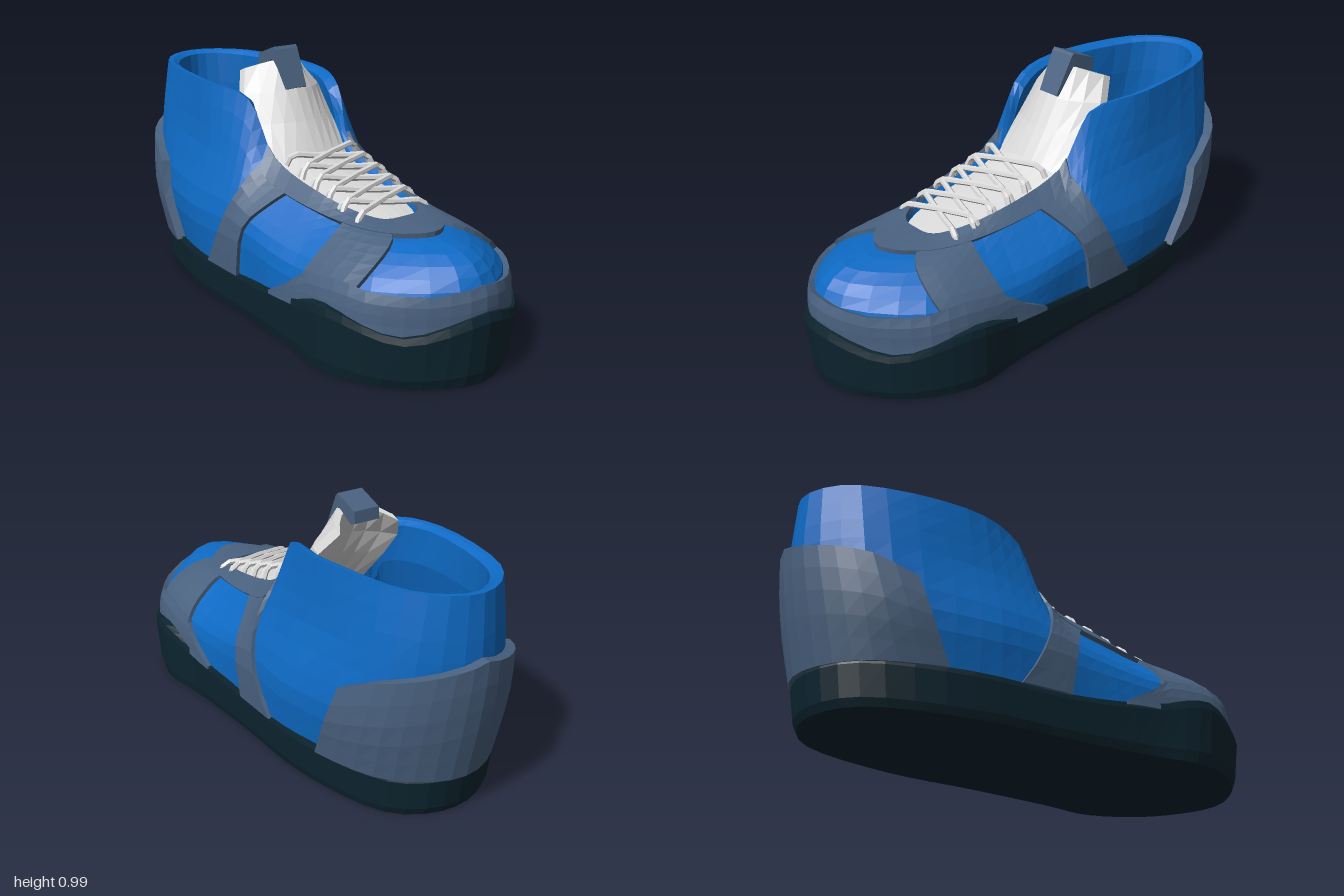
import * as THREE from 'three';

const V = (x, y, z) => new THREE.Vector3(x, y, z);
const { lerp, clamp } = THREE.MathUtils;

function paint(name, color) {
  const m = new THREE.MeshStandardMaterial({ color, flatShading: true });
  m.name = name;
  return m;
}

// Piecewise-linear lookup through [x, y] points
function ramp(pts, x) {
  for (let i = 1; i < pts.length; i++) {
    const [x0, y0] = pts[i - 1], [x1, y1] = pts[i];
    if (x <= x1) return lerp(y0, y1, Math.max(0, (x - x0) / (x1 - x0)));
  }
  return pts[pts.length - 1][1];
}

// Mesh from a grid of points, fn(i, j); outside is (i direction) x (j direction)
function grid(name, mat, nu, nv, fn) {
  const pos = [], idx = [];
  for (let j = 0; j <= nv; j++)
    for (let i = 0; i <= nu; i++) pos.push(...fn(i, j).toArray());
  for (let j = 0; j < nv; j++)
    for (let i = 0; i < nu; i++) {
      const a = j * (nu + 1) + i, d = a + nu + 1;
      idx.push(a, a + 1, d + 1, a, d + 1, d);
    }
  const g = new THREE.BufferGeometry();
  g.setAttribute('position', new THREE.Float32BufferAttribute(pos, 3));
  g.setIndex(idx);
  g.computeVertexNormals();
  const mesh = new THREE.Mesh(g, mat);
  mesh.name = name;
  return mesh;
}

// Closed smooth loop from a half outline, heel to toe along +z, mirrored back
function closedLoop(half) {
  const left = half.map(p => V(...p));
  const right = left.slice(1, -1).reverse().map(p => V(p.x, p.y, -p.z));
  return new THREE.CatmullRomCurve3([...left, ...right], true, 'catmullrom', 0.5);
}
// u runs 0 (heel) to 14 (toe) on the left, and on to 28 along the right
const onLoop = (c, u) => c.getPoint((((u / 28) % 1) + 1) % 1);

// Upper: loops from the sole line up to the collar and throat edge
const soleLine = closedLoop([[-.88, .16, 0], [-.74, .16, .23], [-.38, .16, .34], [-.08, .16, .355],
  [.08, .16, .35], [.36, .18, .365], [.74, .19, .32], [.96, .2, 0]]);
const lowLine = closedLoop([[-.93, .4, 0], [-.77, .38, .26], [-.38, .36, .36], [-.1, .36, .355],
  [.06, .34, .35], [.35, .31, .345], [.73, .33, .295], [.955, .345, 0]]);
const midLine = closedLoop([[-.955, .62, 0], [-.79, .62, .24], [-.38, .6, .3], [-.12, .56, .29],
  [.03, .46, .28], [.33, .42, .25], [.64, .425, .2], [.85, .44, 0]]);
const topLine = closedLoop([[-.945, .855, 0], [-.8, .855, .2], [-.4, .85, .275], [-.14, .81, .215],
  [-.01, .6, .18], [.3, .515, .16], [.5, .47, .1], [.54, .465, 0]]);

function skin(u, v) {
  const rib = [soleLine, lowLine, midLine, topLine].map(c => onLoop(c, u));
  return new THREE.CatmullRomCurve3(rib, false, 'catmullrom', 0.5).getPoint(clamp(v, 0, 1));
}

// Point on the upper, moved out along its normal by h
function offsetSkin(u, v, h) {
  const du = skin(u + .2, v).sub(skin(u - .2, v));
  const dv = skin(u, v + .03).sub(skin(u, v - .03));
  return skin(u, v).addScaledVector(du.cross(dv).normalize(), h);
}

// Raised overlay following the upper; the outer ring of the grid sinks to form its edge
function overlay(name, mat, ns, nt, thick, f) {
  return grid(name, mat, ns + 2, nt + 2, (i, j) => {
    const rim = i === 0 || j === 0 || i === ns + 2 || j === nt + 2;
    return offsetSkin(...f(clamp((i - 1) / ns, 0, 1), clamp((j - 1) / nt, 0, 1)), rim ? -.006 : thick);
  });
}

export function createModel() {
  const shoe = new THREE.Group();
  shoe.name = 'shoe';
  const blue = paint('blue fabric', 0x0e6ac4);
  const slate = paint('slate overlay', 0x4a6280);
  const dark = paint('dark rubber', 0x0d2530);
  const white = paint('white textile', 0xdadada);

  // Sole: stacked rings [x scale, z scale, height share] with a wavy top edge
  const outline = closedLoop([[-.9, .165, 0], [-.78, .165, .24], [-.4, .165, .35], [0, .165, .36],
    [.36, .2, .38], [.62, .255, .4], [.87, .195, .26], [1, .27, 0]]);
  const soleRings = [[0, 0, 0], [.965, .95, 0], [.98, .975, .18], [1, 1, .88], [.99, .99, 1], [.93, .93, 1], [0, 0, .6]];
  shoe.add(grid('sole', dark, 56, soleRings.length - 1, (i, j) => {
    const p = onLoop(outline, i / 2), [sx, sz, sy] = soleRings[j];
    return V(p.x * sx, p.y * sy, p.z * sz);
  }));

  // Upper shell and its lining with a padded rim and insole
  shoe.add(grid('upper', blue, 56, 9, (i, j) => skin(i / 2, j / 9)));
  const lining = [[1, 0], [1, -.02], [.985, -.045], [.8, -.06], [.5, -.06], [.15, -.06]];
  shoe.add(grid('lining', blue, 56, lining.length, (i, j) =>
    j < lining.length ? offsetSkin(i / 2, ...lining[j]) : V(-.1, .2, 0)));

  // Heel counter
  const heelTop = [[0, .68], [1, .62], [2.2, .55], [2.9, .46], [3.4, .44]];
  shoe.add(overlay('heelCounter', slate, 16, 5, .035, (s, t) => {
    const u = lerp(-1, 1, s) * lerp(3.4, 2.85, t);
    return [u, t * ramp(heelTop, Math.abs(u))];
  }));

  // Toe guard wrapping the front
  const toeTop = [[9.2, .03], [9.9, .16], [10.5, .34], [11.4, .37], [12, .32], [13, .3], [14, .36]];
  shoe.add(overlay('toeGuard', slate, 28, 4, .018, (s, t) => {
    const u = lerp(9.2, 18.8, s);
    return [u, t * ramp(toeTop, 14 - Math.abs(u - 14))];
  }));

  // Eyelet stay around the throat
  shoe.add(overlay('eyeletStay', slate, 32, 2, .018, (s, t) => [lerp(7.6, 20.4, s), lerp(.83, 1, t)]));

  // Side straps, mirrored
  const straps = {
    middleStrap: (s, t) => [lerp(lerp(5, 7.5, t), lerp(6.85, 8.9, t), s), t * .86],
    frontStrap: (s, t) => [lerp(lerp(10.35, 10.9, t), lerp(11.6, 12.6, t), s), lerp(.26, .86, t)],
  };
  for (const [name, f] of Object.entries(straps)) {
    shoe.add(overlay(name + 'Left', slate, 4, 7, .016, f));
    shoe.add(overlay(name + 'Right', slate, 4, 7, .016, (s, t) => {
      const [u, v] = f(1 - s, t);
      return [-u, v];
    }));
  }

  // Tongue: curved strip; rows are x, y, half width, side drop in x and in y
  const rows = [[.56, .445, .13, 0, .01], [.3, .505, .165, 0, .02], [.1, .55, .175, 0, .03], [.01, .595, .18, .03, .03],
    [-.06, .71, .18, .08, .01], [-.12, .82, .178, .11, .01], [-.185, .94, .13, .11, .045]];
  const N = 8;
  shoe.add(grid('tongue', white, 2 * N + 2, rows.length, (i, j) => {
    const k = i % (2 * N + 2), back = k > N, last = j === rows.length;
    const q = 1 - 2 * (back ? 2 * N + 1 - k : k) / N;
    const [x, y, w, dropX, dropY] = rows[last ? j - 1 : j];
    const thick = last ? .018 : back ? .036 : 0;
    const upright = clamp((j - 2) * .6, 0, 1);
    return V(x - dropX * q * q - thick * upright, y - dropY * q * q - thick * (1 - upright * .6), w * q);
  }));

  // Pull tab folded over the tongue, narrower at its lower end
  const tab = new THREE.Shape([[-.315, .9], [-.31, .945], [-.205, .985], [-.195, .975], [-.122, .83], [-.15, .815],
    [-.215, .935], [-.29, .89]].map(p => new THREE.Vector2(...p)));
  const tabGeo = new THREE.ExtrudeGeometry(tab, { depth: .108, bevelEnabled: false });
  tabGeo.translate(0, 0, -.054);
  const tabPos = tabGeo.attributes.position;
  for (let i = 0; i < tabPos.count; i++)
    if (tabPos.getY(i) < .86) tabPos.setZ(i, tabPos.getZ(i) * .86);
  tabGeo.computeVertexNormals();
  const pullTab = new THREE.Mesh(tabGeo, slate);
  pullTab.name = 'pullTab';
  shoe.add(pullTab);

  // Crossed laces, ends tucked into the eyelet stay
  const laces = new THREE.Group();
  laces.name = 'laces';
  for (let n = 0; n < 5; n++)
    for (const side of [1, -1]) {
      const x0 = .05 + n * .083, lift = side > 0 ? .012 : 0;
      const path = new THREE.CatmullRomCurve3([-1.05, -.9, -.4, 0, .4, .9, 1.05].map(q => {
        const x = x0 + .05 * (q + 1);
        const rise = Math.abs(q) > 1 ? -.035 : lift * (1 - q * q) + .004;
        return V(x, .63 - .29 * x + rise, side * q * .16);
      }));
      const lace = new THREE.Mesh(new THREE.TubeGeometry(path, 12, .012, 6), white);
      lace.name = 'lace';
      laces.add(lace);
    }
  shoe.add(laces);

  return shoe;
}
